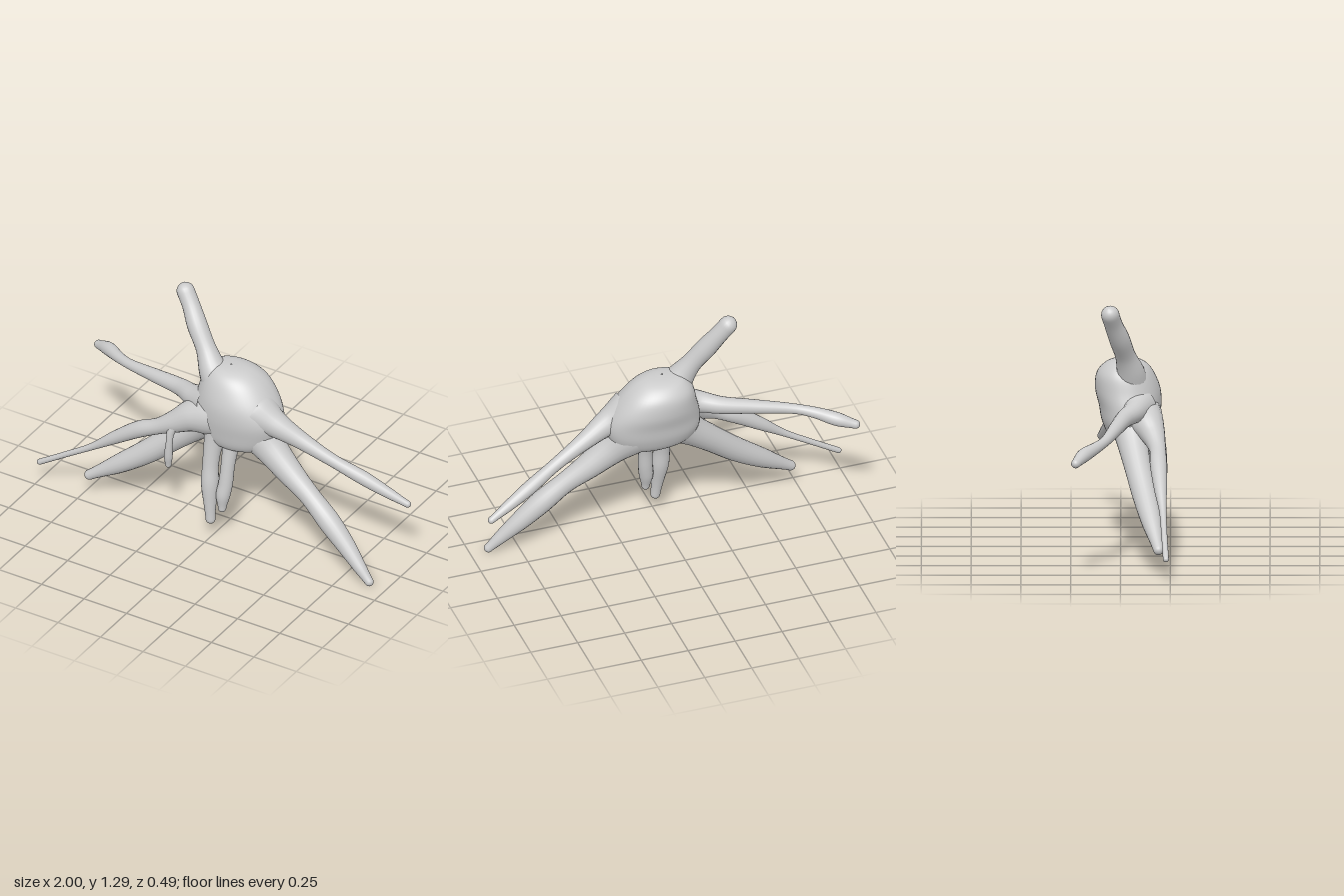
import * as THREE from 'three';

const material = new THREE.MeshStandardMaterial({ color: 0xcccccc, side: THREE.DoubleSide });

// Skin a list of closed rings, each running counter-clockwise about the sweep direction.
function loft(rings) {
  const n = rings[0].length, positions = [], index = [];
  for (const ring of rings) for (const p of ring) positions.push(p.x, p.y, p.z);
  for (let i = 0; i < rings.length - 1; i++) {
    for (let j = 0; j < n; j++) {
      const k = (j + 1) % n;
      const a = i * n + j, b = i * n + k, c = a + n, d = b + n;
      index.push(a, b, c, b, d, c);
    }
  }
  const geometry = new THREE.BufferGeometry();
  geometry.setAttribute('position', new THREE.Float32BufferAttribute(positions, 3));
  geometry.setIndex(index);
  geometry.computeVertexNormals();
  return geometry;
}

// Tapered tentacle with a round tip; stations are [x, y, z, radius] from root to tip.
function limbGeometry(stations, sides = 20) {
  const path = new THREE.CatmullRomCurve3(stations.map(([x, y, z]) => new THREE.Vector3(x, y, z)));
  const widths = new THREE.SplineCurve(stations.map((s, i) => new THREE.Vector2(i, s[3])));
  const steps = (stations.length - 1) * 7, rings = [];
  const addRing = (centre, tangent, radius) => {
    const n = new THREE.Vector3(0, 0, 1).addScaledVector(tangent, -tangent.z).normalize();
    const b = new THREE.Vector3().crossVectors(tangent, n);
    rings.push(Array.from({ length: sides }, (_, j) => {
      const a = (j / sides) * Math.PI * 2;
      return centre.clone().addScaledVector(n, Math.cos(a) * radius).addScaledVector(b, Math.sin(a) * radius);
    }));
  };
  for (let i = 0; i <= steps; i++) {
    const t = i / steps;
    addRing(path.getPoint(t), path.getTangent(t), widths.getPoint(t).y);
  }
  // Hemispherical tip
  const end = path.getPoint(1), dir = path.getTangent(1), r = stations.at(-1)[3];
  for (let i = 1; i <= 6; i++) {
    const a = (i / 6) * Math.PI * 0.497;
    addRing(end.clone().addScaledVector(dir, Math.sin(a) * r), dir, Math.cos(a) * r);
  }
  return loft(rings);
}

// Domed body with a flatter back; levels are [y, xMin, xMax, zBack, zFront].
function bodyGeometry(sides = 48) {
  const levels = [
    [0.53, 0.06, 0.07, 0.07, 0.08],
    [0.535, -0.05, 0.19, 0.01, 0.15],
    [0.57, -0.13, 0.27, -0.06, 0.18],
    [0.64, -0.17, 0.31, -0.095, 0.195],
    [0.72, -0.17, 0.32, -0.11, 0.205],
    [0.80, -0.15, 0.285, -0.128, 0.2],
    [0.88, -0.13, 0.225, -0.122, 0.17],
    [0.93, -0.1, 0.165, -0.085, 0.135],
    [0.955, -0.065, 0.105, -0.035, 0.09],
    [0.962, 0.02, 0.03, 0.03, 0.035],
  ];
  const side = (k) => new THREE.SplineCurve(levels.map((l) => new THREE.Vector2(l[0], l[k])));
  const edges = [1, 2, 3, 4].map(side), steps = 45, rings = [];
  for (let i = 0; i <= steps; i++) {
    const t = i / steps;
    const [x0, x1, z0, z1] = edges.map((e) => e.getPoint(t).y);
    const y = edges[0].getPoint(t).x;
    const cx = (x0 + x1) / 2, cz = (z0 + z1) / 2;
    rings.push(Array.from({ length: sides }, (_, j) => {
      const a = (j / sides) * Math.PI * 2, c = Math.cos(a);
      const depth = c < 0 ? -Math.pow(-c, 0.8) : c;
      return new THREE.Vector3(cx + Math.sin(a) * (x1 - x0) / 2, y, cz + depth * (z1 - z0) / 2);
    }));
  }
  return loft(rings);
}

const limbs = {
  raisedArm: [
    [-0.01, 0.8, 0.05, 0.1], [-0.07, 0.9, 0.05, 0.075], [-0.13, 1.0, 0.025, 0.052],
    [-0.2, 1.1, -0.005, 0.052], [-0.255, 1.185, -0.035, 0.046], [-0.297, 1.245, -0.052, 0.046],
  ],
  rightBackArm: [
    [-0.08, 0.73, 0.08, 0.1], [-0.17, 0.725, 0.07, 0.06], [-0.28, 0.71, 0.02, 0.045],
    [-0.45, 0.69, -0.025, 0.036], [-0.65, 0.665, -0.08, 0.026], [-0.74, 0.65, -0.125, 0.029],
    [-0.83, 0.63, -0.185, 0.035], [-0.915, 0.605, -0.225, 0.023],
  ],
  rightFrontTentacle: [
    [-0.04, 0.68, 0.1, 0.11], [-0.14, 0.655, 0.135, 0.085], [-0.22, 0.61, 0.165, 0.06],
    [-0.31, 0.56, 0.185, 0.042], [-0.42, 0.505, 0.19, 0.043], [-0.56, 0.41, 0.2, 0.033],
    [-0.69, 0.315, 0.212, 0.018], [-0.84, 0.22, 0.22, 0.015], [-0.984, 0.13, 0.228, 0.015],
  ],
  rightLeg: [
    [-0.02, 0.66, 0.05, 0.11], [-0.14, 0.565, 0.06, 0.08], [-0.26, 0.465, 0.085, 0.068],
    [-0.4, 0.345, 0.12, 0.062], [-0.55, 0.235, 0.155, 0.05], [-0.715, 0.125, 0.19, 0.026],
  ],
  leftLeg: [
    [0.17, 0.65, 0.04, 0.12], [0.28, 0.555, 0.06, 0.085], [0.4, 0.46, 0.075, 0.066],
    [0.52, 0.375, 0.09, 0.053], [0.64, 0.275, 0.105, 0.057], [0.75, 0.175, 0.12, 0.048],
    [0.85, 0.08, 0.14, 0.033], [0.907, 0.025, 0.15, 0.023],
  ],
  leftArm: [
    [0.2, 0.755, 0.06, 0.11], [0.3, 0.715, 0.06, 0.07], [0.43, 0.65, 0.035, 0.046],
    [0.6, 0.565, 0.0, 0.033], [0.76, 0.485, -0.045, 0.036], [0.88, 0.425, -0.075, 0.028],
    [0.98, 0.377, -0.1, 0.018],
  ],
  longMiddleTentacle: [
    [0.0, 0.67, 0.1, 0.08], [-0.015, 0.55, 0.135, 0.052], [-0.02, 0.42, 0.16, 0.042],
    [-0.015, 0.31, 0.175, 0.045], [-0.005, 0.19, 0.19, 0.031], [0.002, 0.115, 0.197, 0.025],
  ],
  shortMiddleTentacle: [
    [0.07, 0.66, 0.09, 0.07], [0.075, 0.55, 0.12, 0.045], [0.073, 0.44, 0.145, 0.036],
    [0.068, 0.33, 0.16, 0.037], [0.06, 0.26, 0.172, 0.036], [0.06, 0.19, 0.18, 0.021],
  ],
  smallHangingTentacle: [
    [-0.2, 0.63, 0.165, 0.045], [-0.225, 0.57, 0.205, 0.022], [-0.23, 0.5, 0.215, 0.018],
    [-0.237, 0.42, 0.212, 0.022], [-0.24, 0.365, 0.208, 0.016],
  ],
};

export function createModel() {
  const group = new THREE.Group();
  const add = (name, geometry) => {
    const mesh = new THREE.Mesh(geometry, material);
    mesh.name = name;
    group.add(mesh);
  };
  add('body', bodyGeometry());
  for (const [name, stations] of Object.entries(limbs)) add(name, limbGeometry(stations));
  return group;
}
